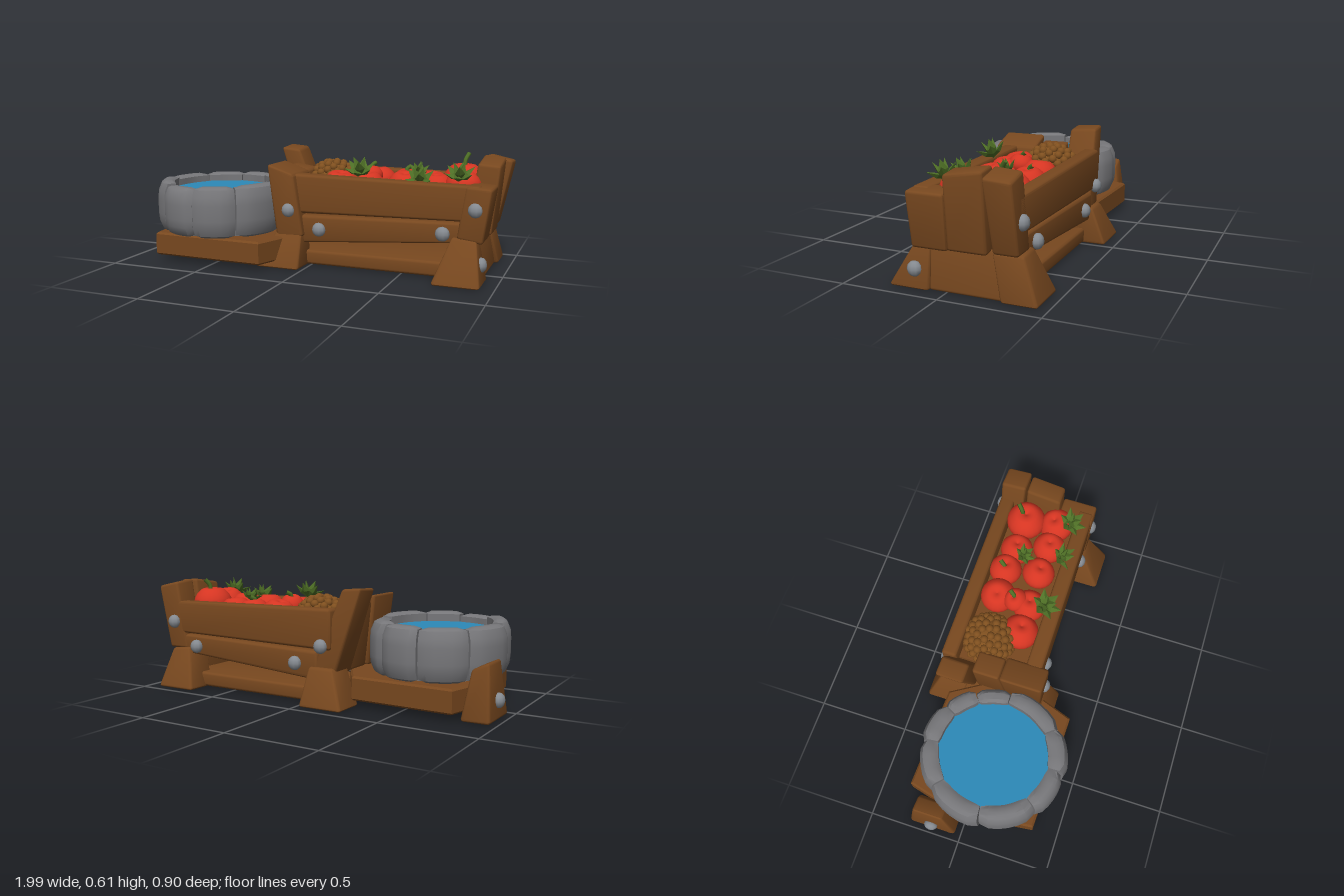
import * as THREE from 'three';
import { toCreasedNormals } from 'three/addons/utils/BufferGeometryUtils.js';
import { RoundedBoxGeometry } from 'three/addons/geometries/RoundedBoxGeometry.js';

const material = (name, color) => {
  const m = new THREE.MeshStandardMaterial({ color });
  m.name = name;
  return m;
};

export function createModel() {
  const model = new THREE.Group();
  model.name = 'feedTrough';
  const wood = material('wood', 0x78481f);
  const stone = material('stone', 0x77777a);
  const metal = material('metal', 0x858a90);
  const water = material('water', 0x2c8ab8);
  const red = material('tomatoRed', 0xd63522);
  const green = material('leafGreen', 0x4f7026);
  const heapBrown = material('heapBrown', 0x80501f);

  const add = (name, geometry, mat, parent = model) => {
    const mesh = new THREE.Mesh(geometry, mat);
    mesh.name = name;
    parent.add(mesh);
    return mesh;
  };
  const group = (name) => {
    const g = new THREE.Group();
    g.name = name;
    model.add(g);
    return g;
  };
  const lerp = THREE.MathUtils.lerp;

  // Worn timber: a rounded box stretched between two rectangles [x0, x1, z0, z1].
  // y0 and y1 are [left end, right end] heights; slope tilts the top along z.
  const timber = (name, bottom, top, y0, y1, slope = 0, radius = 0.015) => {
    const w = (bottom[1] - bottom[0] + top[1] - top[0]) / 2;
    const d = (bottom[3] - bottom[2] + top[3] - top[2]) / 2;
    const h = (y1[0] + y1[1] - y0[0] - y0[1]) / 2;
    const g = new RoundedBoxGeometry(w, h, d, 2, radius);
    const p = g.attributes.position;
    for (let i = 0; i < p.count; i++) {
      const u = p.getX(i) / w + 0.5, v = p.getY(i) / h + 0.5, t = p.getZ(i) / d + 0.5;
      p.setXYZ(i,
        lerp(lerp(bottom[0], bottom[1], u), lerp(top[0], top[1], u), v),
        lerp(lerp(y0[0], y0[1], u), lerp(y1[0], y1[1], u) + slope * (t - 0.5), v),
        lerp(lerp(bottom[2], bottom[3], t), lerp(top[2], top[3], t), v));
    }
    return add(name, toCreasedNormals(g, 0.55), wood);
  };

  // Long crate planks, front and back
  for (const [side, z0, z1] of [['front', 0.085, 0.17], ['back', -0.36, -0.28]]) {
    const r = [-0.15, 0.9, z0, z1];
    timber(side + 'UpperPlank', r, r, [0.29, 0.31], [0.50, 0.485]);
    const q = [-0.07, 0.83, z0 + 0.005, z1 - 0.005];
    timber(side + 'LowerPlank', q, q, [0.13, 0.2], [0.28, 0.3]);
  }
  // Crate floor and lower end board
  const floor = [-0.2, 0.88, -0.33, 0.14];
  timber('crateFloor', floor, floor, [0.01, 0.01], [0.085, 0.09]);
  timber('lowerEndBoard', [0.8, 0.915, -0.28, 0.09], [0.8, 0.88, -0.27, 0.1], [0.005, 0.005], [0.23, 0.23]);
  // Leaning end boards
  timber('rightFrontBoard', [0.79, 0.92, -0.012, 0.172], [0.83, 0.96, -0.018, 0.176], [0.22, 0.2], [0.485, 0.475]);
  timber('rightMiddleBoard', [0.8, 0.93, -0.212, -0.015], [0.85, 0.965, -0.21, -0.018], [0.22, 0.21], [0.59, 0.58], -0.03);
  timber('rightBackBoard', [0.79, 0.92, -0.36, -0.235], [0.86, 0.995, -0.36, -0.222], [0.22, 0.22], [0.6, 0.57], 0.01);
  timber('leftFrontBoard', [-0.17, -0.02, 0, 0.2], [-0.22, -0.07, -0.02, 0.21], [0.16, 0.17], [0.55, 0.5]);
  timber('leftMiddleBoard', [-0.16, -0.04, -0.175, -0.005], [-0.21, -0.08, -0.17, -0.025], [0.16, 0.16], [0.52, 0.5]);
  timber('leftBackBoard', [-0.17, -0.03, -0.35, -0.18], [-0.31, -0.2, -0.325, -0.18], [0.16, 0.16], [0.605, 0.595], -0.01);

  // Flared feet
  const flare = [0.005, 0.005];
  timber('rightFrontFoot', [0.69, 0.935, 0.08, 0.295], [0.77, 0.89, 0.09, 0.17], flare, [0.23, 0.22]);
  timber('rightBackFoot', [0.69, 0.935, -0.455, -0.275], [0.77, 0.89, -0.37, -0.22], flare, [0.23, 0.22]);
  timber('leftFrontFoot', [-0.265, -0.015, 0.08, 0.28], [-0.17, -0.03, 0.09, 0.19], flare, [0.2, 0.2]);
  timber('leftBackFoot', [-0.265, -0.015, -0.45, -0.26], [-0.17, -0.03, -0.37, -0.22], flare, [0.2, 0.2]);
  timber('outerFoot', [-0.97, -0.82, -0.29, -0.03], [-0.945, -0.86, -0.25, -0.09], flare, [0.29, 0.25]);

  // Platform beneath the basin
  const outline = [[-0.8, -0.33], [-0.25, -0.31], [-0.12, -0.1], [-0.12, 0.18], [-0.19, 0.38], [-0.82, 0.365], [-0.87, -0.05]];
  const slab = new THREE.ExtrudeGeometry(
    new THREE.Shape(outline.map(([x, z]) => new THREE.Vector2(x, -z))),
    { depth: 0.105, bevelSize: 0.01, bevelThickness: 0.01, bevelOffset: -0.01, bevelSegments: 1 });
  slab.rotateX(-Math.PI / 2).translate(0, 0.05, 0);
  add('basinPlatform', slab, wood);

  // Stone basin: uneven blocks bent round a ring
  const basin = group('basin');
  basin.position.set(-0.56, 0, 0.065);
  basin.scale.z = 1.05;
  const seams = [-97, -62, -33, -2, 50, 88, 127, 175, 222, 263];
  for (let k = 0; k < seams.length - 1; k++) {
    const a0 = THREE.MathUtils.degToRad(seams[k] + 0.6), a1 = THREE.MathUtils.degToRad(seams[k + 1] - 0.6);
    const g = new THREE.BoxGeometry(1, 1, 1, 6, 6, 4);
    const p = g.attributes.position;
    const height = 0.27 + 0.008 * Math.sin(k * 2.3);
    const outer = 0.364 + 0.007 * Math.cos(k * 1.7);
    for (let i = 0; i < p.count; i++) {
      const u = p.getX(i) * 2, v = p.getY(i) * 2, w = p.getZ(i) + 0.5;
      const bulge = outer - 0.022 * v ** 4 - 0.016 * u ** 6;
      const r = lerp(0.268 + 0.008 * u ** 6, bulge, w);
      const a = (a0 + a1) / 2 - u * (a1 - a0) / 2;
      const edge = 0.012 * Math.max(u ** 6, (2 * w - 1) ** 6);
      p.setXYZ(i, r * Math.cos(a), 0.165 + height / 2 + v * (height / 2 - edge), r * Math.sin(a));
    }
    add('basinBlock', toCreasedNormals(g, 0.6), stone, basin);
  }
  const core = add('basinCore', new THREE.CylinderGeometry(0.31, 0.31, 0.2, 32), stone, basin);
  core.position.y = 0.27;
  const pool = add('waterSurface', new THREE.CircleGeometry(0.28, 32).rotateX(-Math.PI / 2), water, basin);
  pool.position.y = 0.385;

  // Bolt heads
  const bolt = (x, y, z, axis) => {
    const b = add('bolt', new THREE.SphereGeometry(0.038, 10, 6), metal);
    b.position.set(x, y, z);
    b.scale[axis] = 0.8;
  };
  for (const [x, y, zf, zb] of [[-0.1, 0.31, 0.2, -0.365], [0.06, 0.21, 0.165, -0.36], [0.72, 0.24, 0.165, -0.365], [0.88, 0.37, 0.17, -0.365]]) {
    bolt(x, y, zf, 'z');
    bolt(x, y, zb, 'z');
  }
  bolt(0.915, 0.1, 0.16, 'x');
  bolt(-0.965, 0.1, -0.16, 'x');

  // Bed of the crate
  const bed = add('crateBed', new THREE.BoxGeometry(0.94, 0.08, 0.38), wood);
  bed.position.set(0.36, 0.35, -0.1);

  // Knobbly heap
  const heap = group('knobblyHeap');
  heap.position.set(0.025, 0.42, -0.155);
  add('heapCore', new THREE.SphereGeometry(0.13, 20, 12).scale(1, 0.9, 1), heapBrown, heap);
  for (let i = 0; i < 80; i++) {
    const y = 1 - 1.3 * (i + 0.5) / 80, r = Math.sqrt(1 - y * y), a = i * 2.39996;
    const knob = add('knob', new THREE.IcosahedronGeometry(0.022, 1), heapBrown, heap);
    knob.position.set(r * Math.cos(a) * 0.128, y * 0.115, r * Math.sin(a) * 0.128);
  }

  // Tomatoes: lathed fruit with a dimpled top, [x, y, z, radius]
  const fruitProfile = new THREE.SplineCurve([[0.001, -0.85], [0.5, -0.75], [0.95, -0.2], [0.95, 0.3], [0.6, 0.74], [0.25, 0.78], [0.001, 0.64]]
    .map(([x, y]) => new THREE.Vector2(x, y))).getPoints(16);
  const fruit = new THREE.LatheGeometry(fruitProfile, 20);
  const tomatoes = [
    [0.28, 0.43, -0.19, 0.095], [0.44, 0.43, -0.2, 0.09], [0.58, 0.43, -0.18, 0.09], [0.75, 0.465, -0.18, 0.108],
    [0.115, 0.42, -0.01, 0.1], [0.27, 0.435, -0.01, 0.09], [0.265, 0.475, -0.085, 0.065], [0.47, 0.44, -0.02, 0.09],
    [0.64, 0.44, -0.01, 0.09], [0.78, 0.455, -0.01, 0.095]];
  tomatoes.forEach(([x, y, z, r], i) => {
    const t = add('tomato', fruit, red);
    t.position.set(x, y, z);
    t.scale.setScalar(r);
    t.rotation.set(0.25 * Math.sin(i * 2), i, 0.25 * Math.cos(i * 3));
    if (i === 3) t.rotation.set(0, 0, 0);
  });

  // Curved stems
  const stem = (x, y, z, h) => {
    const curve = new THREE.CatmullRomCurve3([
      new THREE.Vector3(x, y, z), new THREE.Vector3(x, y + h * 0.5, z - 0.005), new THREE.Vector3(x + 0.015, y + h, z - 0.03)]);
    add('stem', new THREE.TubeGeometry(curve, 6, 0.012, 6), green);
  };
  stem(0.75, 0.53, -0.2, 0.075);
  for (const [x, y, z] of [[0.265, 0.515, -0.09], [0.43, 0.49, -0.2]]) stem(x, y, z, 0.03);

  // Leaf tufts: pointed blades fanned round a crown, [x, y, z, size, forward tilt]
  const blade = new THREE.OctahedronGeometry(1).scale(0.024, 0.05, 0.012).translate(0, 0.045, 0);
  for (const [x, y, z, size, tilt] of [[0.26, 0.5, 0.07, 1.1, 0.4], [0.52, 0.49, -0.13, 0.8, 0.5], [0.58, 0.475, 0.07, 1, 0.6], [0.78, 0.5, 0.06, 1.05, 0.4]]) {
    const tuft = group('leafTuft');
    tuft.position.set(x, y, z);
    tuft.scale.setScalar(size);
    tuft.rotation.x = tilt;
    for (let i = 0; i < 9; i++) {
      const leaf = add('leaf', toCreasedNormals(blade, 0.1), green, tuft);
      leaf.rotation.set(i < 6 ? 0.95 : 0.35, i * Math.PI / 3 + (i < 6 ? 0 : Math.PI / 6) + (i > 5 ? i : 0), 0, 'YXZ');
    }
  }
  return model;
}
